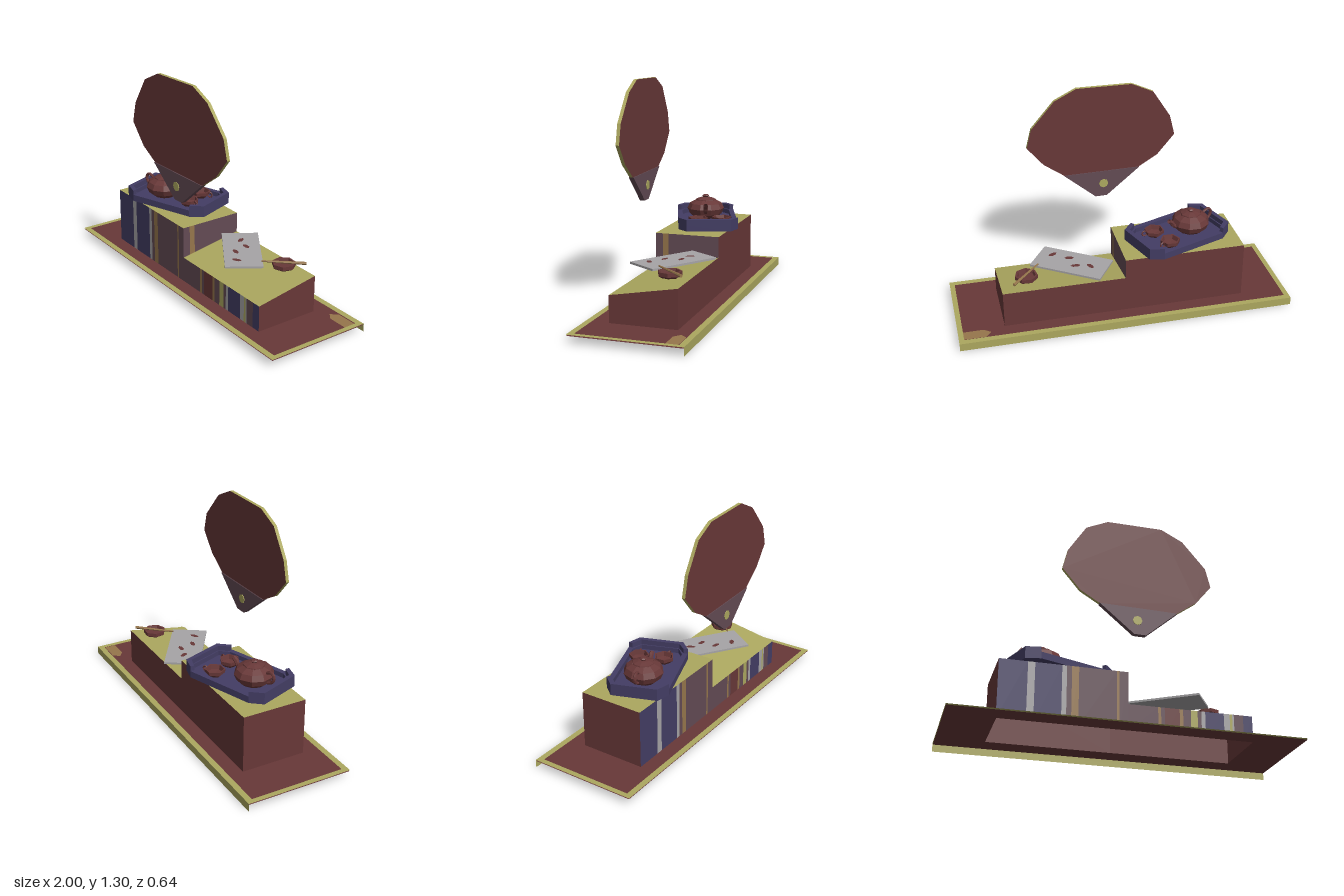
import * as THREE from 'three';

export function createModel() {
  const root = new THREE.Group();
  const mk = (name, color) =>
    new THREE.MeshStandardMaterial({ name, color, flatShading: true, side: THREE.DoubleSide });
  const red = mk('claret', 0x683838), olive = mk('straw', 0xaca85f), navy = mk('indigo', 0x433d64);
  const mauve = mk('mauve', 0x634b54), grey = mk('paperGrey', 0xa6a4a6), tan = mk('tan', 0x96764c);

  const add = (name, geo, mat, parent = root) => {
    const m = new THREE.Mesh(geo, mat);
    m.name = name;
    parent.add(m);
    return m;
  };
  const group = (name, x, y, z, ry) => {
    const g = new THREE.Group();
    g.name = name;
    g.position.set(x, y, z);
    g.rotation.y = ry;
    root.add(g);
    return g;
  };
  // flat convex panel from corner points
  const panel = (name, pts, mat, parent) => {
    const tris = [];
    for (let i = 1; i < pts.length - 1; i++) tris.push(...pts[0], ...pts[i], ...pts[i + 1]);
    const g = new THREE.BufferGeometry();
    g.setAttribute('position', new THREE.Float32BufferAttribute(tris, 3));
    g.computeVertexNormals();
    return add(name, g, mat, parent);
  };
  const shapeOf = (pts, hole) => {
    const s = new THREE.Shape(pts.map(p => new THREE.Vector2(...p)));
    if (hole) s.holes.push(new THREE.Path(hole.map(p => new THREE.Vector2(...p))));
    return s;
  };
  const extrude = (shape, depth) => new THREE.ExtrudeGeometry(shape, { depth, bevelEnabled: false });
  const rect = (w, d) => [[-w, -d], [w, -d], [w, d], [-w, d]];
  const lathe = (pts, sides) => new THREE.LatheGeometry(pts.map(p => new THREE.Vector2(...p)), sides);

  // mat: open in the middle, with a border and one hanging back edge
  const flat = (s, y) => new THREE.ShapeGeometry(s).rotateX(-Math.PI / 2).translate(0, y, 0);
  add('mat', flat(shapeOf(rect(0.998, 0.318), rect(0.722, 0.195)), 0.041), red);
  add('matBorder', flat(shapeOf(rect(1, 0.32), rect(0.97, 0.285)), 0.048), olive);
  panel('matBackEdge', [[1, 0, -0.32], [-1, 0, -0.32], [-1, 0.048, -0.32], [1, 0.048, -0.32]], olive);
  panel('matCornerPatch', [[0.81, 0.046, -0.24], [0.85, 0.046, -0.21], [0.97, 0.046, -0.21],
    [0.97, 0.046, -0.28], [0.84, 0.046, -0.28]], tan);

  // stepped stand
  const X = 0.725, Z = 0.195, B = 0.041, H = 0.385, F = 0.195, R = 0.263;
  panel('upperTop', [[-X, H, Z], [0, H, Z], [0, H, -Z], [-X, H, -Z]], olive);
  panel('lowerTop', [[0, F, Z], [X, F, Z], [X, R, -Z], [0, R, -Z]], olive);
  panel('leftEnd', [[-X, B, -Z], [-X, B, Z], [-X, H, Z], [-X, H, -Z]], red);
  panel('rightEnd', [[X, B, Z], [X, B, -Z], [X, R, -Z], [X, F, Z]], red);
  panel('upperBack', [[0, B, -Z], [-X, B, -Z], [-X, H, -Z], [0, H, -Z]], red);
  panel('lowerBack', [[X, B, -Z], [0, B, -Z], [0, R, -Z], [X, R, -Z]], red);
  const slope = z => F + (R - F) * (Z - z) / (2 * Z);
  for (const [z0, z1, m] of [[0.195, 0.15, mauve], [0.15, 0.115, tan], [0.115, -0.195, mauve]])
    panel('stepFace', [[0, slope(z0), z0], [0, slope(z1), z1], [0, H, z1], [0, H, z0]], m);

  // front stripes: each entry is the right-hand edge and its colour
  const stripes = (x0, top, list) => {
    for (const [x1, m] of list) {
      panel('frontStripe', [[x0, B, Z], [x1, B, Z], [x1, top, Z], [x0, top, Z]], m);
      x0 = x1;
    }
  };
  stripes(-X, H, [[-0.565, navy], [-0.525, grey], [-0.375, navy], [-0.348, grey], [-0.32, mauve],
    [-0.28, tan], [-0.065, mauve], [-0.05, tan], [0, mauve]]);
  stripes(0, F, [[0.17, mauve], [0.187, tan], [0.208, mauve], [0.295, red], [0.315, tan], [0.36, mauve],
    [0.4, olive], [0.422, mauve], [0.445, grey], [0.555, navy], [0.59, grey], [0.605, olive],
    [0.615, grey], [0.67, mauve], [X, navy]]);

  // tray with raised ends
  const tray = group('tray', -0.36, 0.395, -0.01, 0.345);
  const oct = (a, b, c, d) => [[-a, -d], [-c, -b], [c, -b], [a, -d], [a, d], [c, b], [-c, b], [-a, d]];
  const upright = (shape, h) => extrude(shape, h).rotateX(-Math.PI / 2);
  add('trayFloor', upright(shapeOf(oct(0.27, 0.165, 0.2, 0.12)), 0.012), navy, tray);
  add('trayRim', upright(shapeOf(oct(0.288, 0.178, 0.213, 0.132), oct(0.255, 0.148, 0.195, 0.112)), 0.04), navy, tray);
  for (const s of [-1, 1]) {
    const end = [[0.213, -0.178], [0.288, -0.132], [0.288, 0.132], [0.213, 0.178],
      [0.205, 0.155], [0.262, 0.115], [0.262, -0.115], [0.205, -0.155]];
    add('trayEnd', upright(shapeOf(end.map(([x, y]) => [s * x, y])), 0.07), navy, tray);
  }

  // teapot
  const pot = group('teapot', -0.455, 0.407, 0.027, 0.3);
  add('potBody', lathe([[0, 0], [0.07, 0], [0.1, 0.025], [0.115, 0.06], [0.1, 0.092], [0.062, 0.112]], 10), red, pot);
  add('potLid', lathe([[0.064, 0.108], [0.062, 0.116], [0.03, 0.126], [0.014, 0.128], [0.022, 0.136],
    [0.016, 0.143], [0, 0.144]], 8), red, pot);
  const tube = (pts, r, n = 8) =>
    new THREE.TubeGeometry(new THREE.CatmullRomCurve3(pts.map(p => new THREE.Vector3(...p))), n, r, 6);
  add('potSpout', tube([[0.085, 0.045, 0], [0.12, 0.06, 0], [0.135, 0.085, 0], [0.155, 0.1, 0]], 0.014), red, pot);
  add('potHandle', tube([[-0.095, 0.095, 0], [-0.13, 0.107, 0], [-0.147, 0.08, 0], [-0.13, 0.045, 0],
    [-0.1, 0.035, 0]], 0.009, 10), red, pot);

  // cups
  const cupProfile = [[0, 0], [0.032, 0], [0.058, 0.022], [0.06, 0.043], [0.052, 0.043], [0.045, 0.018], [0, 0.012]];
  for (const [x, z, a] of [[-0.285, -0.128, 0.5], [-0.223, 0.003, 0.1]]) {
    const cup = group('cup', x, 0.408, z, a);
    add('cupBowl', lathe(cupProfile, 6), red, cup);
    add('cupHandle', new THREE.TorusGeometry(0.016, 0.005, 5, 8).translate(0.062, 0.026, 0), red, cup);
  }

  // paper slab with painted leaves
  const paper = group('paper', 0.288, 0.299, -0.017, -0.587);
  add('sheet', new THREE.BoxGeometry(0.444, 0.012, 0.216), grey, paper);
  for (const [x, z, a] of [[-0.12, 0, -0.5], [-0.036, -0.026, 0.5], [0.032, 0.038, 0.4], [0.14, 0.038, 1.1]]) {
    const leaf = new THREE.CircleGeometry(0.03, 6).scale(1, 0.5, 1).rotateX(-Math.PI / 2).rotateY(a);
    add('leaf', leaf.translate(x, 0.0075, z), red, paper);
  }

  // ink dish with a brush lying across it
  const dish = group('inkDish', 0.572, 0.28, -0.096, 0.83);
  add('dishBowl', lathe([[0, 0], [0.05, 0], [0.068, 0.012], [0.068, 0.034], [0.056, 0.034], [0.05, 0.016], [0, 0.016]], 7), red, dish);
  add('brush', new THREE.CylinderGeometry(0.005, 0.009, 0.25, 6).rotateZ(Math.PI / 2).translate(0, 0.034, 0), tan, dish);

  // fan standing upright in front
  const fan = group('fan', 0.04, 0, 0.247, 0.032);
  const leafPts = [[-0.14, 1.297], [0.19, 1.303], [0.32, 1.24], [0.46, 1.08], [0.49, 0.963], [0.395, 0.845],
    [0.27, 0.754], [-0.18, 0.754], [-0.3, 0.824], [-0.405, 0.947], [-0.375, 1.07], [-0.27, 1.235]];
  const shift = pts => shapeOf(pts.map(([x, y]) => [x - 0.04, y]));
  add('fanLeaf', extrude(shift(leafPts), 0.02).translate(0, 0, -0.01), [red, olive], fan);
  add('fanGrip', extrude(shift([[-0.187, 0.757], [0.015, 0.592], [0.085, 0.592], [0.275, 0.757]]), 0.03)
    .translate(0, 0, -0.015), mauve, fan);
  add('fanPivot', new THREE.CylinderGeometry(0.028, 0.028, 0.038, 8).rotateX(Math.PI / 2)
    .translate(-0.005, 0.677, 0), olive, fan);
  return root;
}
